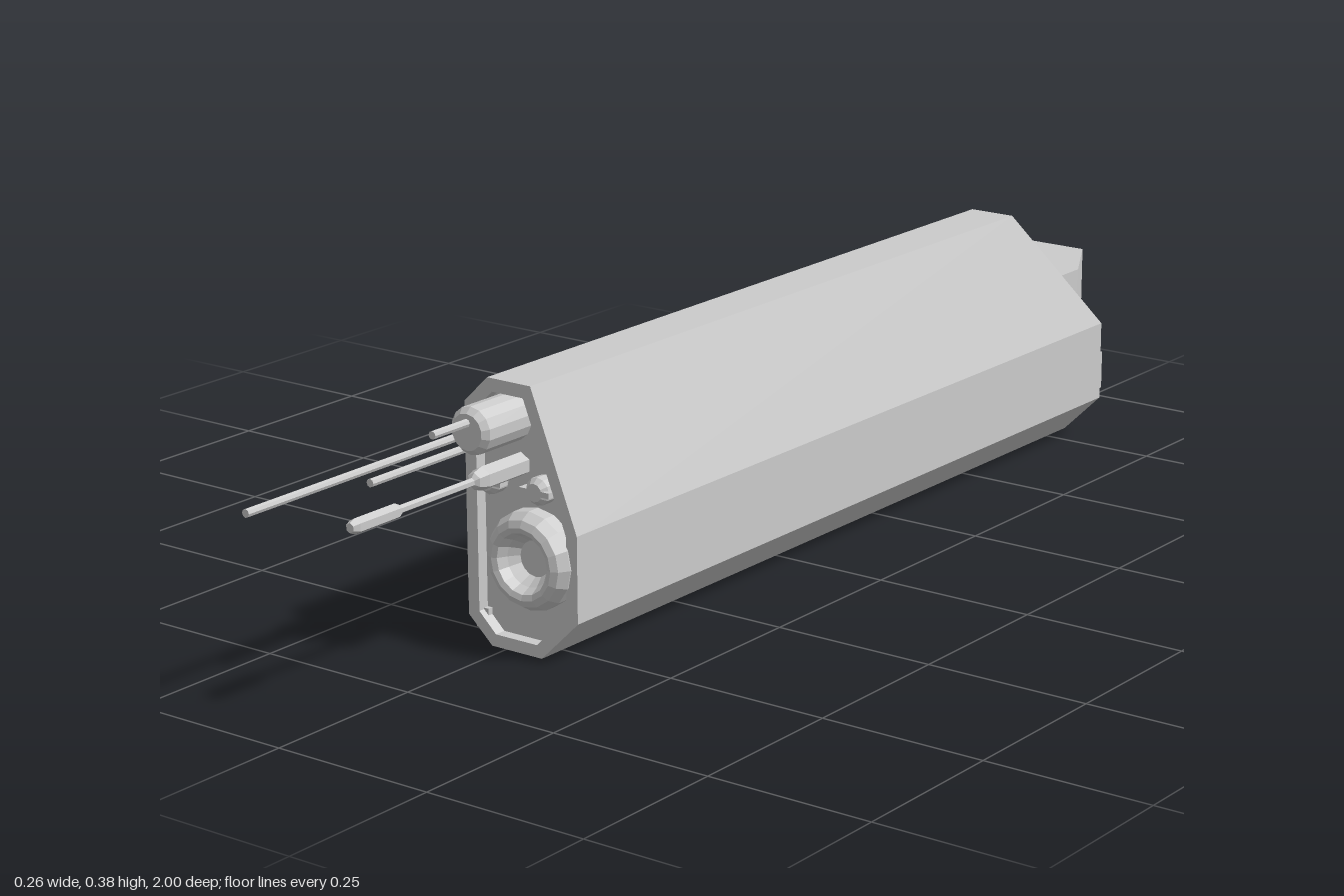
import * as THREE from 'three';

const FRONT = 0.545, FLOOR = 0.527, BACK = -0.805, BREAK = 0.19;

export function createModel() {
  const group = new THREE.Group();
  const material = new THREE.MeshStandardMaterial({ color: 0xcccccc, flatShading: true });

  function add(name, geometry, x = 0, y = 0, z = 0) {
    const mesh = new THREE.Mesh(geometry, material);
    mesh.name = name;
    mesh.position.set(x, y, z);
    group.add(mesh);
    return mesh;
  }
  const points = (list) => list.map(([x, y]) => new THREE.Vector2(x, y));
  const extrude = (shape, depth) =>
    new THREE.ExtrudeGeometry(shape, { depth, bevelEnabled: false });

  // Turned part facing +z; profile is a list of [radius, z]
  function turned(name, x, y, profile, sides) {
    const g = new THREE.LatheGeometry(points(profile), sides);
    g.rotateX(Math.PI / 2);
    return add(name, g, x, y);
  }
  // Solid stepped pin
  function rod(name, x, y, radius, z0, z1, sides = 8) {
    return turned(name, x, y, [[0, z0], [radius, z0], [radius, z1], [0, z1]], sides);
  }

  // Housing: lower half ends upright, upper half slopes forward at the back
  const lower = [[-0.066, BREAK], [-0.066, 0.04], [-0.025, 0.002], [0.063, 0.002], [0.127, 0.065], [0.127, BREAK]];
  const upper = [[0.127, BREAK], [0.05, 0.387], [-0.025, 0.387], [-0.066, 0.347], [-0.066, BREAK]];
  add('lowerHousing', extrude(new THREE.Shape(points(lower)), FLOOR - BACK), 0, 0, BACK);
  const top = extrude(new THREE.Shape(points(upper)), FLOOR - BACK);
  top.translate(0, 0, BACK);
  const p = top.attributes.position;
  for (let i = 0; i < p.count; i++) {
    if (p.getZ(i) < 0) p.setZ(i, BACK + (p.getY(i) - BREAK) * 0.78);
  }
  top.computeVertexNormals();
  add('upperHousing', top);

  // Raised rim around the sunken front panel
  const rim = new THREE.Shape(points([...lower.slice(1), ...upper.slice(1, 4)]));
  rim.holes.push(new THREE.Path(points([
    [-0.017, 0.368], [0.037, 0.368], [0.108, 0.187], [0.108, 0.073],
    [0.055, 0.02], [-0.018, 0.02], [-0.047, 0.048], [-0.047, 0.338],
  ])));
  add('frontRim', extrude(rim, FRONT - FLOOR), 0, 0, FLOOR);

  // Side block that wraps round the back corner
  const block = extrude(new THREE.Shape(points([
    [-0.13, 0.49], [0.035, 0.49], [0.035, 0.88], [-0.03, 1], [-0.13, 1],
  ])), 0.128);
  block.rotateX(-Math.PI / 2);
  add('rearBlock', block, 0, 0.122, 0);

  // Small fittings on the shell
  add('rearPlate', new THREE.BoxGeometry(0.03, 0.06, 0.02), 0.11, 0.11, -0.803);
  add('lowerTab', new THREE.BoxGeometry(0.022, 0.03, 0.02), -0.05, 0.035, 0.525);

  // Large dished socket
  turned('socket', 0.046, 0.14, [
    [0.071, FLOOR], [0.071, 0.547], [0.062, 0.562], [0.052, 0.567],
    [0.044, 0.564], [0.037, 0.55], [0.026, 0.535], [0, 0.535],
  ], 16);

  // Top connector with its pin
  turned('topConnector', 0.003, 0.333, [
    [0, FLOOR], [0.034, FLOOR], [0.034, 0.613], [0.026, 0.622], [0, 0.622],
  ], 14);
  rod('connectorPin', 0.003, 0.346, 0.006, 0.6, 0.692);

  // Long and short antennas
  rod('longAntenna', -0.043, 0.31, 0.006, FLOOR, 1);
  rod('shortAntenna', -0.043, 0.29, 0.006, FLOOR, 0.765);

  // Central probe with a thick hexagonal tip
  turned('probe', 0.017, 0.268, [
    [0, FLOOR], [0.017, FLOOR], [0.017, 0.61], [0.012, 0.625], [0.006, 0.63], [0.006, 0.775],
    [0.011, 0.785], [0.011, 0.862], [0.007, 0.872], [0, 0.872],
  ], 6);

  // Pair of thumb switches
  for (const x of [-0.025, 0.06]) {
    turned('switchBase', x, 0.241, [
      [0, FLOOR], [0.02, FLOOR], [0.02, 0.545], [0.013, 0.553], [0, 0.553],
    ], 12);
    add('switchBar', new THREE.BoxGeometry(0.052, 0.008, 0.016), x, 0.241, 0.545);
  }
  return group;
}
